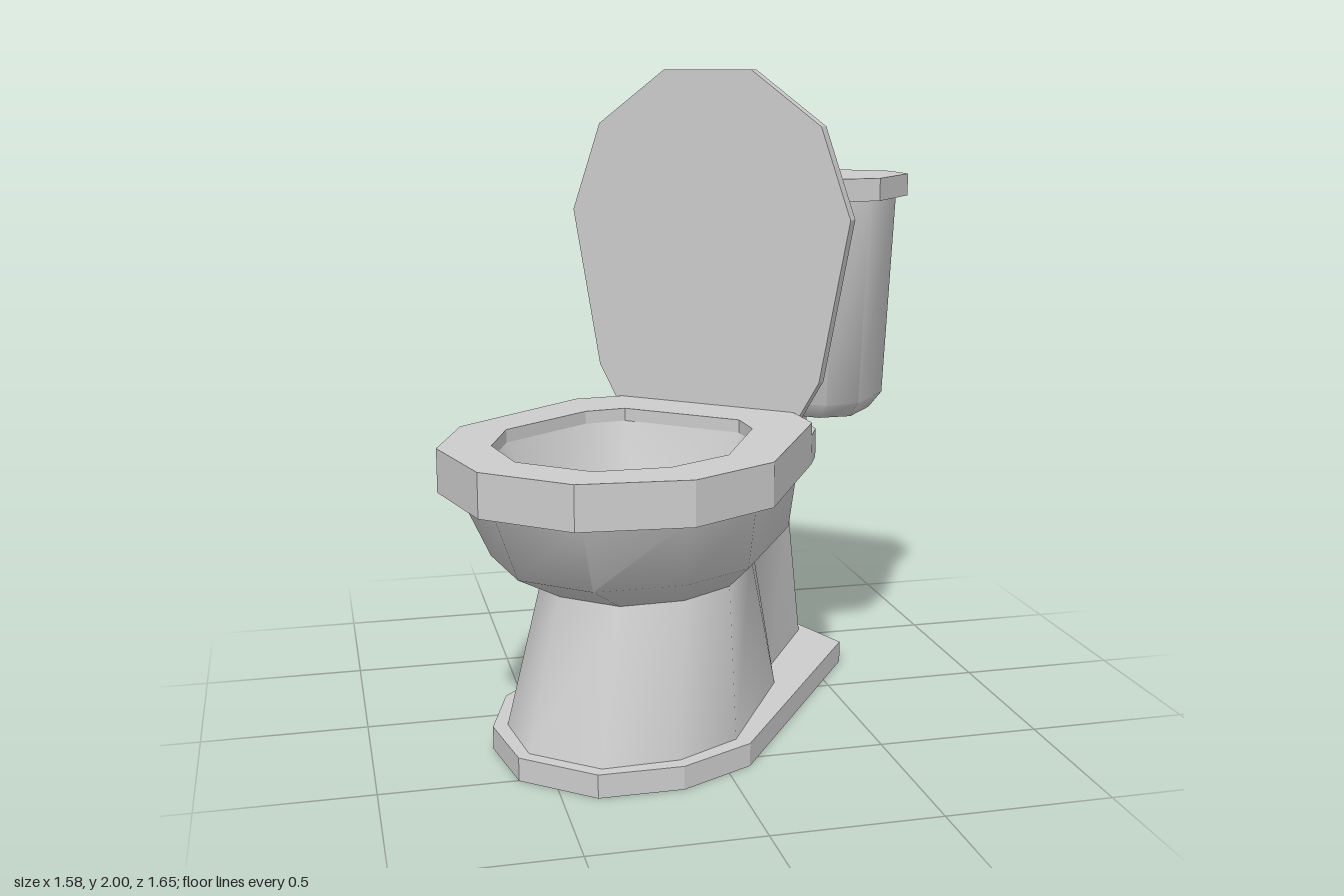
import * as THREE from 'three';
import { toCreasedNormals } from 'three/addons/utils/BufferGeometryUtils.js';

// Mirror half an outline ([x, z], front to back) into a closed loop
const mirror = (half) => [...half, ...half.slice().reverse().map(([x, z]) => [-x, z])];
const toVectors = (half) => mirror(half).map(([x, z]) => new THREE.Vector2(x, -z));

// Flat slab between two heights, optionally with a hole
function slab(half, y0, y1, hole) {
  const shape = new THREE.Shape(toVectors(half));
  if (hole) shape.holes.push(new THREE.Path(toVectors(hole)));
  const geo = new THREE.ExtrudeGeometry(shape, { depth: y1 - y0, bevelEnabled: false });
  return geo.rotateX(-Math.PI / 2).translate(0, y0, 0);
}

// Skin through mirrored sections [{ y, half }], with optional end caps
function loft(sections, crease, { capStart = false, capEnd = false } = {}) {
  const n = sections[0].half.length * 2;
  const pos = [], index = [];
  for (const { y, half } of sections) for (const [x, z] of mirror(half)) pos.push(x, y, z);
  for (let s = 0; s < sections.length - 1; s++) {
    for (let i = 0; i < n; i++) {
      const a = s * n + i, b = s * n + (i + 1) % n;
      index.push(a, b, b + n, a, b + n, a + n);
    }
  }
  const cap = (s, down) => {
    for (const [a, b, c] of THREE.ShapeUtils.triangulateShape(toVectors(sections[s].half), [])) {
      index.push(...(down ? [a, c, b] : [a, b, c]).map((i) => i + s * n));
    }
  };
  if (capStart) cap(0, true);
  if (capEnd) cap(sections.length - 1, false);
  const geo = new THREE.BufferGeometry();
  geo.setAttribute('position', new THREE.Float32BufferAttribute(pos, 3));
  geo.setIndex(index);
  return toCreasedNormals(geo, crease);
}

export function createModel() {
  const model = new THREE.Group();
  model.name = 'toilet';
  const body = new THREE.Group();
  body.name = 'turnedBody';
  body.rotation.y = THREE.MathUtils.degToRad(-40);
  body.position.set(-0.005, 0, -0.004);
  model.add(body);

  const porcelain = new THREE.MeshStandardMaterial({ color: 0xcccccc });
  porcelain.name = 'porcelain';
  const add = (name, geo) => {
    const mesh = new THREE.Mesh(geo, porcelain);
    mesh.name = name;
    body.add(mesh);
  };

  // Foot plate
  add('footPlate', slab([[0.13, 0.77], [0.32, 0.61], [0.42, 0.38], [0.34, -0.55], [0.12, -0.67]], 0, 0.07));

  // Pedestal flaring into the outside of the bowl, with a narrow column behind
  add('pedestal', loft([
    { y: 0.07, half: [[0.12, 0.73], [0.29, 0.575], [0.37, 0.37], [0.29, -0.1], [0.22, -0.22], [0.166, -0.603]] },
    { y: 0.5, half: [[0.1, 0.58], [0.24, 0.45], [0.3, 0.27], [0.23, -0.04], [0.17, -0.18], [0.14, -0.56]] },
    { y: 0.6, half: [[0.12, 0.77], [0.32, 0.6], [0.41, 0.38], [0.34, -0.08], [0.205, -0.27], [0.14, -0.56]] },
    { y: 0.81, half: [[0.14, 0.86], [0.37, 0.69], [0.46, 0.44], [0.37, -0.08], [0.225, -0.3], [0.14, -0.56]] },
  ], 0.8));

  // Rim with the shelf that carries the tank, and the seat on top
  const opening = [[0.123, 0.77], [0.29, 0.63], [0.368, 0.428], [0.288, 0.088], [0.2, -0.01]];
  const front = [[0.15, 0.917], [0.412, 0.73], [0.517, 0.452], [0.417, -0.073]];
  add('rim', slab([...front, [0.39, -0.17], [0.25, -0.345], [0.2, -0.565], [0.17, -0.605]], 0.81, 0.9, opening));
  add('seat', slab([...front, [0.307, -0.187]], 0.9, 0.94, opening));

  // Inside of the bowl, narrowing towards the drain
  const drain = [0, 0.22];
  const shrink = (k) => opening.map(([x, z]) => [x * k, drain[1] + (z - drain[1]) * k]);
  add('bowlInside', loft([
    { y: 0.9, half: opening },
    { y: 0.68, half: shrink(0.72) },
    { y: 0.42, half: shrink(0.24) },
  ], 0.9, { capEnd: true }));

  // Raised lid standing against the tank
  const lidHalf = [[0.31, 0.9], [0.39, 1.04], [0.485, 1.55], [0.385, 1.83], [0.15, 2]];
  const lidShape = new THREE.Shape(mirror(lidHalf).map(([x, y]) => new THREE.Vector2(x, y)));
  add('lid', new THREE.ExtrudeGeometry(lidShape, { depth: 0.04, bevelEnabled: false }).translate(0, 0, -0.23));

  // Tank, tapered and rounded under, with its cover
  add('tank', loft([
    { y: 0.9, half: [[0.34, -0.325], [0.42, -0.395], [0.42, -0.565], [0.34, -0.635]] },
    { y: 0.95, half: [[0.38, -0.285], [0.455, -0.37], [0.455, -0.59], [0.38, -0.675]] },
    { y: 1.6, half: [[0.4, -0.265], [0.485, -0.36], [0.485, -0.6], [0.4, -0.695]] },
  ], 1.0, { capStart: true }));
  add('tankCover', slab([[0.415, -0.237], [0.52, -0.349], [0.52, -0.613], [0.418, -0.725]], 1.6, 1.67));

  return model;
}
